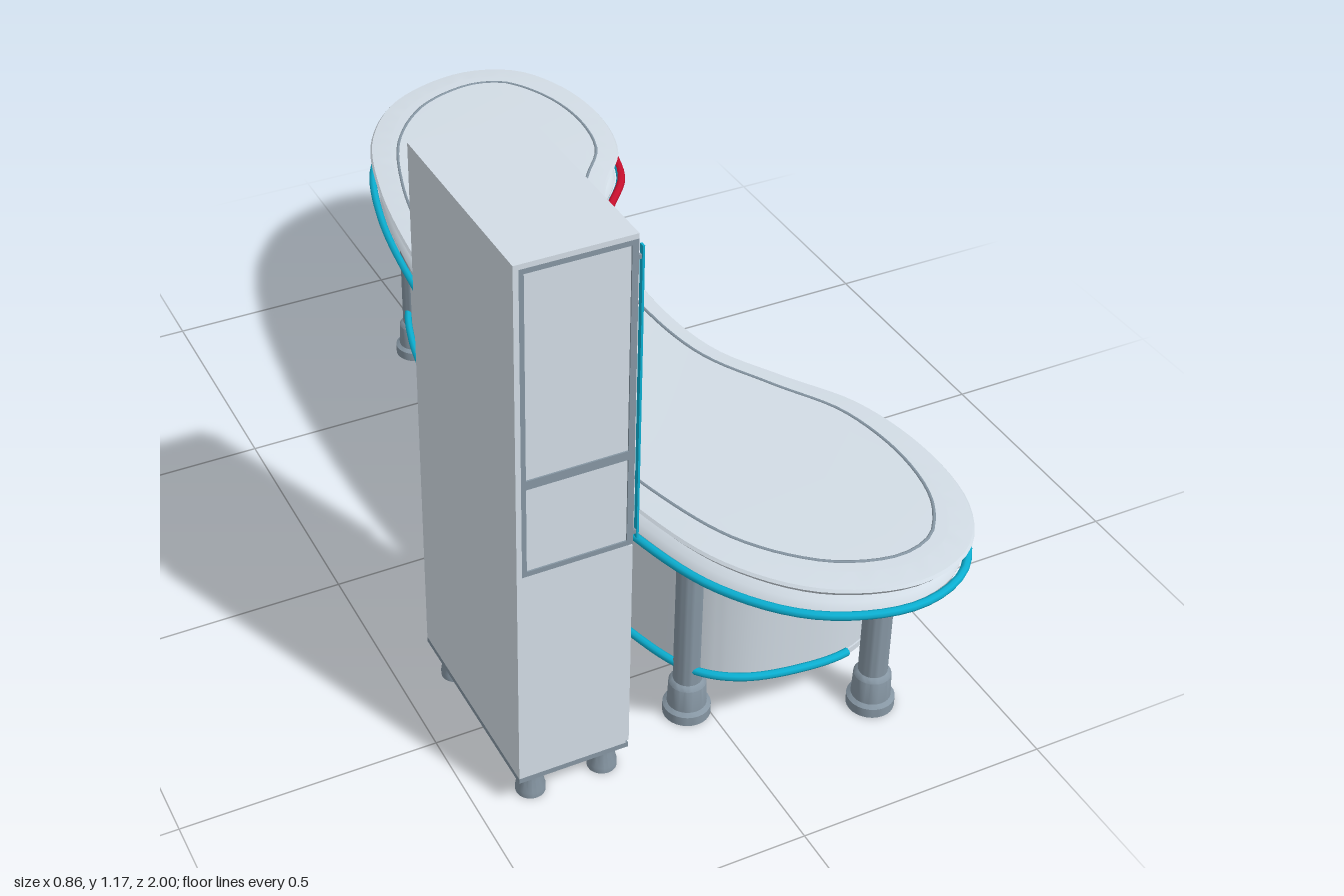
import * as THREE from 'three';
import { toCreasedNormals } from 'three/addons/utils/BufferGeometryUtils.js';

const paint = (name, color) => {
  const m = new THREE.MeshStandardMaterial({ color });
  m.name = name;
  return m;
};

export function createModel() {
  const light = paint('lightGrey', 0xd2dce5);
  const slate = paint('slateGrey', 0x8696a3);
  const teal = paint('teal', 0x0cb0d2);
  const red = paint('red', 0xc8102e);
  const dark = paint('darkTrim', 0x3c444c);

  const model = new THREE.Group();
  const add = (parent, name, geo, mat) => {
    const m = new THREE.Mesh(geo, mat);
    m.name = name;
    parent.add(m);
    return m;
  };

  // Sampled closed outline in plan; each entry is [x, z, outward nx, outward nz]
  const outline = (pts, n) => {
    const c = new THREE.CatmullRomCurve3(pts.map(([x, z]) => new THREE.Vector3(x, 0, z)), true, 'centripetal');
    return Array.from({ length: n }, (_, i) => {
      const p = c.getPointAt(i / n), t = c.getTangentAt(i / n);
      return [p.x, p.z, t.z, -t.x];
    });
  };
  const shift = (ring, d, sz = 1) => ring.map(([x, z, nx, nz]) => [x + nx * d, (z + nz * d) * sz, nx, nz]);

  // Capped solid: the ring repeated at each [offset, y] row, bottom to top
  const loft = (ring, rows) => {
    const n = ring.length, pos = [];
    const at = (r, i) => {
      const [x, z, nx, nz] = ring[i % n];
      return [x + nx * rows[r][0], rows[r][1], z + nz * rows[r][0]];
    };
    for (let r = 0; r + 1 < rows.length; r++) {
      for (let i = 0; i < n; i++) {
        const a = at(r, i), b = at(r + 1, i), c = at(r, i + 1), d = at(r + 1, i + 1);
        pos.push(...a, ...b, ...c, ...c, ...b, ...d);
      }
    }
    for (const [r, up] of [[0, -1], [rows.length - 1, 1]]) {
      const flat = ring.map((_, i) => { const p = at(r, i); return new THREE.Vector2(p[0], p[2]); });
      for (const f of THREE.ShapeUtils.triangulateShape(flat, [])) {
        const [a, b, c] = f.map((i) => at(r, i));
        const ny = (b[2] - a[2]) * (c[0] - a[0]) - (b[0] - a[0]) * (c[2] - a[2]);
        pos.push(...a, ...(ny * up > 0 ? [...b, ...c] : [...c, ...b]));
      }
    }
    const g = new THREE.BufferGeometry();
    g.setAttribute('position', new THREE.Float32BufferAttribute(pos, 3));
    return toCreasedNormals(g, 0.7);
  };
  const rail = (ring, y, r, closed = true) => new THREE.TubeGeometry(
    new THREE.CatmullRomCurve3(ring.map(([x, z]) => new THREE.Vector3(x, y, z)), closed), ring.length, r, 8, closed);

  // ---- Desk top ----
  const desk = new THREE.Group();
  desk.name = 'desk';
  model.add(desk);
  const top = outline([
    [-0.2, 0], [-0.188, -0.3], [-0.147, -0.6], [-0.077, -0.81], [0.04, -0.945], [0.22, -1],
    [0.34, -0.955], [0.405, -0.84], [0.425, -0.68], [0.39, -0.52], [0.3, -0.4], [0.225, -0.25],
    [0.19, 0], [0.215, 0.23], [0.29, 0.37], [0.375, 0.51], [0.412, 0.7], [0.39, 0.86],
    [0.32, 0.96], [0.2, 0.997], [0.04, 0.945], [-0.08, 0.81], [-0.15, 0.6], [-0.188, 0.3]], 160);
  add(desk, 'upperTop', loft(top, [[-0.08, 0.474], [-0.04, 0.482], [-0.012, 0.497], [0, 0.511],
    [-0.004, 0.516], [-0.045, 0.52]]), light);
  add(desk, 'lowerTop', loft(shift(top, 0, 0.985), [[-0.06, 0.418], [-0.03, 0.424], [-0.014, 0.437],
    [-0.01, 0.45], [-0.018, 0.464], [-0.05, 0.478]]), light);
  // Inlay sits further in towards the two ends
  const inlay = top.map(([x, z, nx, nz]) => {
    const d = 0.038 + 0.034 * Math.min(1, 1.2 * z * z);
    return [x - nx * d, z - nz * d];
  });
  add(desk, 'topInlay', rail(inlay, 0.519, 0.0035), slate);
  add(desk, 'edgeRail', rail(shift(top, 0.001, 0.985), 0.45, 0.008), teal);
  for (const [z0, z1] of [[0.27, 0.59], [-0.64, -0.32]]) {
    const part = shift(top, 0.003, 0.985).filter(([x, z]) => x > 0.17 && z > z0 && z < z1);
    add(desk, 'redRail', rail(part, 0.45, 0.0095, false), red);
  }

  // ---- Desk cabinet, symmetric about its own centre ----
  const base = new THREE.Group();
  base.name = 'deskCabinet';
  base.position.z = -0.035;
  desk.add(base);
  const half = [[-0.122, 0.3], [-0.088, 0.53], [-0.035, 0.67], [0.03, 0.725], [0.13, 0.752], [0.25, 0.752],
    [0.335, 0.705], [0.355, 0.62], [0.325, 0.51], [0.26, 0.38], [0.2, 0.25], [0.165, 0.12]];
  const body = outline([[-0.135, 0], ...half.map(([x, z]) => [x, -z]), [0.155, 0], ...half.slice().reverse()], 320);
  const inBay = (z) => Math.abs(z) > 0.22 && Math.abs(z) < 0.42;
  const section = (z0, z1) => body.filter(([x, z]) => x > 0.14 && z >= z0 && z <= z1);
  const panel = (z0, z1, y0, y1) => {
    const s = section(z0, z1);
    return loft([...shift(s, 0.01), ...shift(s, -0.004).reverse()], [[0, y0], [0, y1]]);
  };
  // Handle arc between two points, bulging along the outward direction
  const handle = (a, b, nx, nz, out) => {
    const push = (p, k) => p.clone().add(new THREE.Vector3(nx * k, 0, nz * k));
    const pts = [a, push(a.clone().lerp(b, 0.08), out * 0.8), push(a.clone().lerp(b, 0.5), out),
      push(a.clone().lerp(b, 0.92), out * 0.8), b];
    return new THREE.TubeGeometry(new THREE.CatmullRomCurve3(pts), 20, 0.0035, 6);
  };

  add(base, 'carcass', loft(body.map(([x, z, nx, nz]) => [x > 0.14 && inBay(z) ? 0.02 : x, z, nx, nz]),
    [[0, 0.11], [0, 0.42]]), light);
  add(base, 'basePlate', loft(body, [[0.003, 0.103], [0.003, 0.116]]), light);
  add(base, 'frontApron', panel(-0.69, 0.69, 0.09, 0.108), slate);
  // Teal rail round the back and ends, and short lengths along the front
  const fromFront = [...body.slice(160), ...body.slice(0, 160)];
  const backRun = fromFront.filter(([x, z]) => x < 0.1 || (Math.abs(z) > 0.7 && x < 0.255));
  add(base, 'backRail', rail(shift(backRun, 0.008), 0.118, 0.008, false), teal);
  for (const [z0, z1, y, r] of [[0.415, 0.695, 0.1, 0.01], [-0.105, 0.095, 0.1, 0.01], [-0.695, -0.405, 0.1, 0.01],
    [0.295, 0.395, 0.12, 0.007], [-0.395, -0.295, 0.12, 0.007]]) {
    add(base, 'frontRail', rail(shift(section(z0, z1), y < 0.11 ? 0.008 : 0), y, r, false), teal);
  }

  for (const s of [-1, 1]) {
    const span = (a, b) => (s > 0 ? [a, b] : [-b, -a]);
    // Open bay shelf
    const edge = section(...span(0.218, 0.422));
    add(base, 'bayShelf', loft([...edge, ...edge.map(([, z, nx, nz]) => [0.015, z, nx, nz]).reverse()],
      [[0, 0.252], [0, 0.262]]), light);
    // Door with upright handle
    add(base, 'door', panel(...span(0.003, 0.215), 0.115, 0.415), light);
    add(base, 'doorHandle', handle(new THREE.Vector3(0.165, 0.24, s * 0.028),
      new THREE.Vector3(0.165, 0.31, s * 0.028), 1, 0, 0.035), dark);
    // Drawers following the curved front
    for (const [y0, y1, hy] of [[0.115, 0.204, 0.162], [0.21, 0.304, 0.264], [0.31, 0.415, 0.364]]) {
      add(base, 'drawer', panel(...span(0.43, 0.695), y0, y1), light);
      const grip = shift(section(...span(0.505, 0.625)), 0.008);
      const [p, q, m] = [grip[0], grip[grip.length - 1], grip[grip.length >> 1]];
      add(base, 'drawerHandle', handle(new THREE.Vector3(p[0], hy, p[1]),
        new THREE.Vector3(q[0], hy, q[1]), m[2], m[3], 0.033), dark);
    }
    // Columns on stepped feet
    const profile = [[0, 0], [0.046, 0], [0.046, 0.02], [0.038, 0.026], [0.036, 0.075], [0.031, 0.082],
      [0.028, 0.084], [0.028, 0.425]].map((v) => new THREE.Vector2(...v));
    for (const [x, z] of [[0.288, 0.79], [-0.037, 0.658]]) {
      add(base, 'column', toCreasedNormals(new THREE.LatheGeometry(profile, 28), 0.6), slate)
        .position.set(x, 0, s * z);
    }
  }

  // ---- Bookcase ----
  const bookcase = new THREE.Group();
  bookcase.name = 'bookcase';
  model.add(bookcase);
  const box = (name, mat, x0, x1, y0, y1, z0, z1) => {
    const m = add(bookcase, name, new THREE.BoxGeometry(x1 - x0, y1 - y0, z1 - z0), mat);
    m.position.set((x0 + x1) / 2, (y0 + y1) / 2, (z0 + z1) / 2);
    return m;
  };
  box('plinth', slate, -0.43, -0.212, 0.063, 0.074, 0.3, 0.72);
  box('backPanel', light, -0.43, -0.42, 0.074, 1.16, 0.3, 0.72);
  box('lowerCabinet', light, -0.42, -0.217, 0.074, 0.54, 0.3, 0.72);
  box('topPanel', light, -0.43, -0.21, 1.16, 1.17, 0.3, 0.72);
  for (const [y, h] of [[0.728, 0.005], [0.93, 0.01]]) {
    box('shelf', light, -0.42, -0.222, y, y + h, 0.306, 0.714);
    box('shelfEdge', teal, -0.222, -0.216, y, y + h, 0.306, 0.714);
  }
  for (const [z0, z1, inner] of [[0.3, 0.308, 0.303], [0.712, 0.72, 0.711]]) {
    // Framed side walls
    box('sidePanel', light, -0.42, -0.215, 0.54, 1.16, inner, inner + 0.006);
    box('rearPost', slate, -0.42, -0.411, 0.54, 1.16, z0, z1);
    box('frontPost', slate, -0.222, -0.21, 0.54, 1.16, z0, z1);
    for (const [y0, y1] of [[0.54, 0.55], [0.725, 0.743], [1.15, 1.16]]) {
      box('sideRail', slate, -0.411, -0.222, y0, y1, z0, z1);
    }
    // Thin upright strip held off the front edge
    const zc = (z0 + z1) / 2;
    box('uprightStrip', teal, -0.204, -0.2, 0.55, 1.145, zc - 0.005, zc + 0.005);
    for (const y of [0.56, 1.12]) box('stripMount', slate, -0.212, -0.203, y, y + 0.008, zc - 0.003, zc + 0.003);
  }
  for (const s of [-1, 1]) {
    const near = 0.51 + s * 0.002, far = 0.51 + s * 0.209;
    box('cabinetDoor', light, -0.217, -0.21, 0.078, 0.536, Math.min(near, far), Math.max(near, far));
    const z = 0.508 + s * 0.025;
    add(bookcase, 'cabinetHandle', handle(new THREE.Vector3(-0.212, 0.3, z),
      new THREE.Vector3(-0.212, 0.365, z), 1, 0, 0.018), dark);
  }
  // Books
  for (const y of [0.54, 0.733]) {
    box('book', light, -0.34, -0.24, y, y + 0.082, 0.658, 0.69);
    box('book', slate, -0.34, -0.24, y, y + 0.082, 0.62, 0.654);
  }
  box('book', slate, -0.34, -0.24, 0.94, 1.025, 0.59, 0.622);
  box('leaningBook', light, -0.34, -0.24, 0.942, 1.026, 0.648, 0.678).rotation.x = 0.4;
  // Feet
  const foot = [[0, 0], [0.028, 0], [0.028, 0.012], [0.022, 0.035], [0.024, 0.064]]
    .map((v) => new THREE.Vector2(...v));
  for (const x of [-0.39, -0.245]) for (const z of [0.34, 0.68]) {
    add(bookcase, 'foot', toCreasedNormals(new THREE.LatheGeometry(foot, 20), 0.6), slate).position.set(x, 0, z);
  }
  return model;
}
